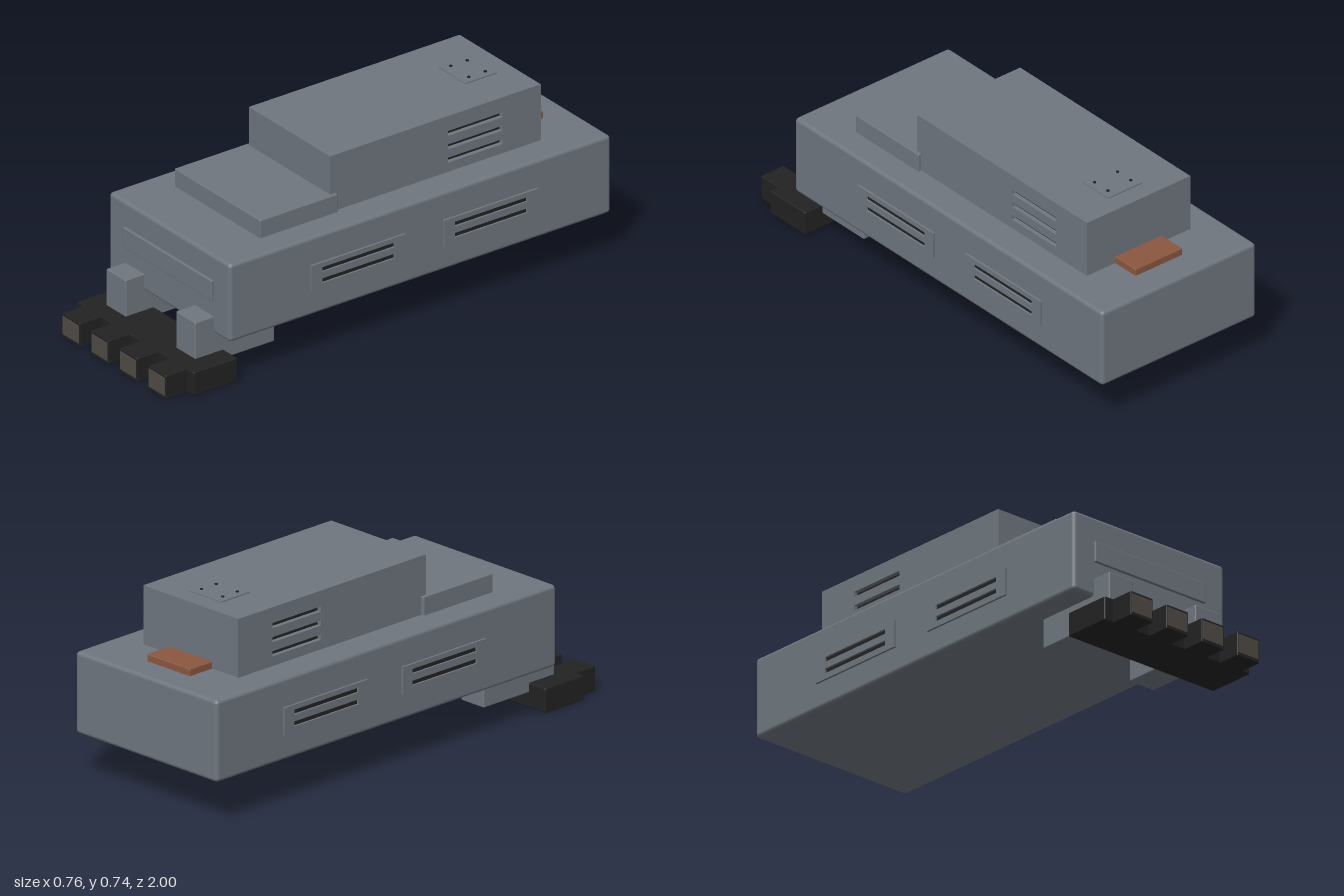
import * as THREE from 'three';
import { RoundedBoxGeometry } from 'three/addons/geometries/RoundedBoxGeometry.js';

function material(name, color) {
  const m = new THREE.MeshStandardMaterial({ color });
  m.name = name;
  return m;
}

export function createModel() {
  const group = new THREE.Group();
  const grey = material('hull grey', 0x6e767e);
  const black = material('bumper black', 0x222222);
  const brown = material('rust brown', 0x8a573f);
  const taupe = material('tooth taupe', 0x4f4a44);

  // Box given by its limits on each axis; r rounds the edges
  function box(name, mat, [x0, x1], [y0, y1], [z0, z1], r = 0) {
    const w = x1 - x0, h = y1 - y0, d = z1 - z0;
    const geo = r ? new RoundedBoxGeometry(w, h, d, 2, r) : new THREE.BoxGeometry(w, h, d);
    const mesh = new THREE.Mesh(geo, mat);
    mesh.name = name;
    mesh.position.set((x0 + x1) / 2, (y0 + y1) / 2, (z0 + z1) / 2);
    group.add(mesh);
  }

  // Side plate with slots cut through it and a dark sheet behind them.
  // Each slot is [y, centre along z, length, height].
  function slottedSide(name, side, innerX, depth, [y0, y1], [z0, z1], slots) {
    const rect = (target, a0, a1, b0, b1) => target
      .moveTo(a0, b0).lineTo(a1, b0).lineTo(a1, b1).lineTo(a0, b1).closePath();
    const shape = rect(new THREE.Shape(), -side * z1, -side * z0, y0, y1);
    if (side > 0) rect(shape.curves.length ? new THREE.Path() : shape, 0, 0, 0, 0);
    for (const [y, z, length, height] of slots) {
      const c = -side * z;
      shape.holes.push(rect(new THREE.Path(), c - length / 2, c + length / 2, y - height / 2, y + height / 2));
      const edges = [side * innerX - 0.002, side * innerX + 0.002];
      box(name + 'SlotBack', black, edges, [y - height / 2, y + height / 2], [z - length / 2, z + length / 2]);
    }
    const geo = new THREE.ExtrudeGeometry(shape, { depth, bevelEnabled: false });
    geo.rotateY(side * Math.PI / 2);
    const mesh = new THREE.Mesh(geo, grey);
    mesh.name = name;
    mesh.position.x = side * innerX;
    group.add(mesh);
  }

  // Hull, front deck and nose plate
  box('hull', grey, [-0.37, 0.37], [0.177, 0.497], [-1, 0.745], 0.015);
  box('frontDeck', grey, [-0.262, 0.262], [0.48, 0.57], [0.17, 0.525], 0.004);
  box('nosePlate', grey, [-0.272, 0.272], [0.314, 0.395], [0.735, 0.756], 0.003);

  // Upper housing: a core with slotted side walls
  box('housingCore', grey, [-0.228, 0.228], [0.48, 0.727], [-0.77, 0.195]);
  for (const side of [-1, 1]) {
    slottedSide('housingWall', side, 0.228, 0.02, [0.48, 0.727], [-0.77, 0.195],
      [0.655, 0.6, 0.545].map((y) => [y, -0.47, 0.25, 0.02]));
    // Vent panels on the hull sides
    for (const z of [0.1625, -0.445]) {
      slottedSide('ventPanel', side, 0.369, 0.01, [0.277, 0.385], [z - 0.215, z + 0.215],
        [0.356, 0.31].map((y) => [y, z, 0.33, 0.019]));
    }
  }

  // Roof hatch with four bolts
  box('hatch', grey, [-0.083, 0.083], [0.72, 0.733], [-0.695, -0.55], 0.002);
  for (const x of [-0.055, 0.055]) {
    for (const z of [-0.66, -0.585]) {
      const bolt = new THREE.Mesh(new THREE.CylinderGeometry(0.006, 0.006, 0.01, 12), black);
      bolt.name = 'hatchBolt';
      bolt.position.set(x, 0.732, z);
      group.add(bolt);
    }
  }

  // Rear step
  box('rearStep', brown, [-0.112, 0.112], [0.49, 0.525], [-0.885, -0.765], 0.004);

  // Bumper with its two brackets and four teeth
  box('bumperBracket', grey, [0.153, 0.272], [0.06, 0.247], [0.467, 0.83], 0.005);
  box('bumperBracket', grey, [-0.272, -0.153], [0.06, 0.247], [0.467, 0.83], 0.005);
  box('bumper', black, [-0.357, 0.357], [0.002, 0.098], [0.7, 0.9], 0.005);
  for (let i = 0; i < 4; i++) {
    const x = -0.2625 + i * 0.175;
    box('bumperTooth', black, [x - 0.054, x + 0.054], [0, 0.098], [0.88, 0.998], 0.004);
    box('toothFace', taupe, [x - 0.048, x + 0.048], [0.014, 0.088], [0.994, 1]);
  }

  return group;
}
